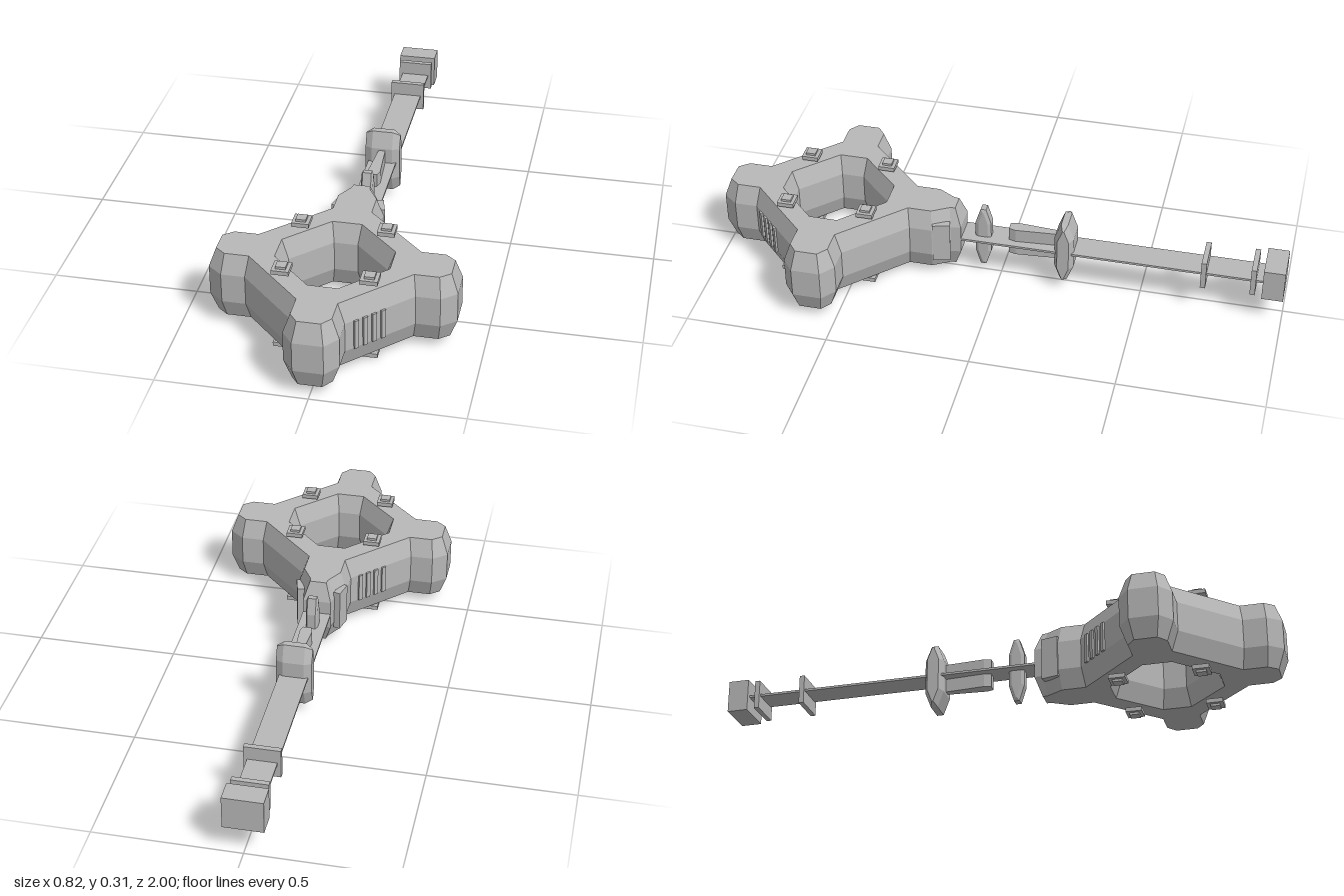
import * as THREE from 'three';

const MID = 0.1565; // height of the central plane
const HEAD_Z = 0.59; // centre of the cross-shaped head

export function createModel() {
  const model = new THREE.Group();
  model.name = 'hammer';
  const grey = new THREE.MeshStandardMaterial({ color: 0xb8b8b8 });
  grey.name = 'grey';

  const add = (name, geometry, x = 0, y = MID, z = 0) => {
    const mesh = new THREE.Mesh(geometry, grey);
    mesh.name = name;
    mesh.position.set(x, y, z);
    model.add(mesh);
    return mesh;
  };
  const box = (name, w, h, d, x, y, z) => add(name, new THREE.BoxGeometry(w, h, d), x, y, z);
  const toShape = (pts) => new THREE.Shape(pts.map(([x, y]) => new THREE.Vector2(x, y)));

  // Four-armed bevelled head with an octagonal opening; the back arm is longer
  const arm = [[0.28, -0.09], [0.36, -0.09], [0.41, -0.05], [0.41, 0.05], [0.36, 0.09], [0.28, 0.09]];
  const backArm = [[0.28, -0.09], [0.36, -0.09], [0.42, -0.055], [0.455, -0.05],
    [0.455, 0.05], [0.42, 0.055], [0.36, 0.09], [0.28, 0.09]];
  const outline = [];
  for (let i = 0; i < 4; i++) {
    const c = [1, 0, -1, 0][i], s = [0, 1, 0, -1][i];
    for (const [x, y] of i === 3 ? backArm : arm) outline.push([x * c - y * s, x * s + y * c]);
  }
  const headShape = toShape(outline);
  const hole = [[0.165, -0.04], [0.165, 0.04], [0.04, 0.165], [-0.04, 0.165],
    [-0.165, 0.04], [-0.165, -0.04], [-0.04, -0.165], [0.04, -0.165]];
  headShape.holes.push(new THREE.Path(hole.map(([x, y]) => new THREE.Vector2(x, y))));
  const head = new THREE.ExtrudeGeometry(headShape, {
    depth: 0.105, bevelEnabled: true, bevelThickness: 0.0675,
    bevelSize: 0.024, bevelOffset: -0.024, bevelSegments: 1,
  });
  head.translate(0, 0, -0.0525).rotateX(Math.PI / 2);
  add('head', head, 0, MID, HEAD_Z);

  // Floating stepped studs above and below the head
  for (const sx of [-1, 1]) for (const sz of [-1, 1]) for (const sy of [-1, 1]) {
    const x = sx * 0.143, z = HEAD_Z + sz * 0.142;
    box('studBase', 0.058, 0.015, 0.058, x, MID + sy * 0.139, z);
    box('studCap', 0.034, 0.009, 0.034, x, MID + sy * 0.1505, z);
  }

  // Upright ribs on two opposite diagonal walls
  for (const side of [-1, 1]) for (let i = 0; i < 4; i++) {
    const t = (i - 1.5) * 0.024;
    const rib = box('rib', 0.016, 0.105, 0.014,
      side * (0.185 - 0.03 + t), MID, HEAD_Z + side * (0.185 + 0.03 - t));
    rib.rotation.y = Math.PI / 4;
  }

  // Cheek plates beside the longer arm
  for (const side of [-1, 1]) {
    const plate = box('cheekPlate', 0.025, 0.15, 0.062, side * 0.073, MID, 0.2);
    plate.rotation.y = side * 0.25;
  }

  // Flat shaft running the length of the handle
  box('shaft', 0.1, 0.008, 1.12, 0, MID, -0.38);

  // Upright faceted blades, drawn as a z/y profile and widened along x
  const blade = (name, halfX, bevel, z, halfZ) => {
    const profile = [[-0.35, -0.118], [0.35, -0.118], [1, -0.06], [1, 0.06],
      [0.35, 0.118], [-0.35, 0.118], [-1, 0.06], [-1, -0.06]];
    const geometry = new THREE.ExtrudeGeometry(toShape(profile.map(([a, b]) => [a * halfZ, b])), {
      depth: 2 * (halfX - bevel), bevelEnabled: true, bevelThickness: bevel,
      bevelSize: halfZ * 0.4, bevelOffset: -halfZ * 0.4, bevelSegments: 1,
    });
    geometry.translate(0, 0, bevel - halfX).rotateY(Math.PI / 2);
    add(name, geometry, 0, MID, z);
  };
  blade('guard', 0.062, 0.025, -0.231, 0.034);
  blade('neckBlade', 0.021, 0.006, 0.062, 0.028);

  // Tapered spine between guard and head
  const spine = new THREE.ExtrudeGeometry(toShape([[-0.012, -0.2], [0.012, -0.2], [0.022, -0.055],
    [0.015, -0.03], [-0.015, -0.03], [-0.022, -0.055]]), { depth: 0.105, bevelEnabled: false });
  spine.translate(0, 0, -0.0525).rotateX(Math.PI / 2);
  add('spine', spine);

  // Grip rings and pommel
  for (const z of [-0.722, -0.893]) box('gripRing', 0.124, 0.105, 0.018, 0, MID, z);
  box('pommel', 0.136, 0.117, 0.074, 0, MID, -0.963);

  return model;
}
